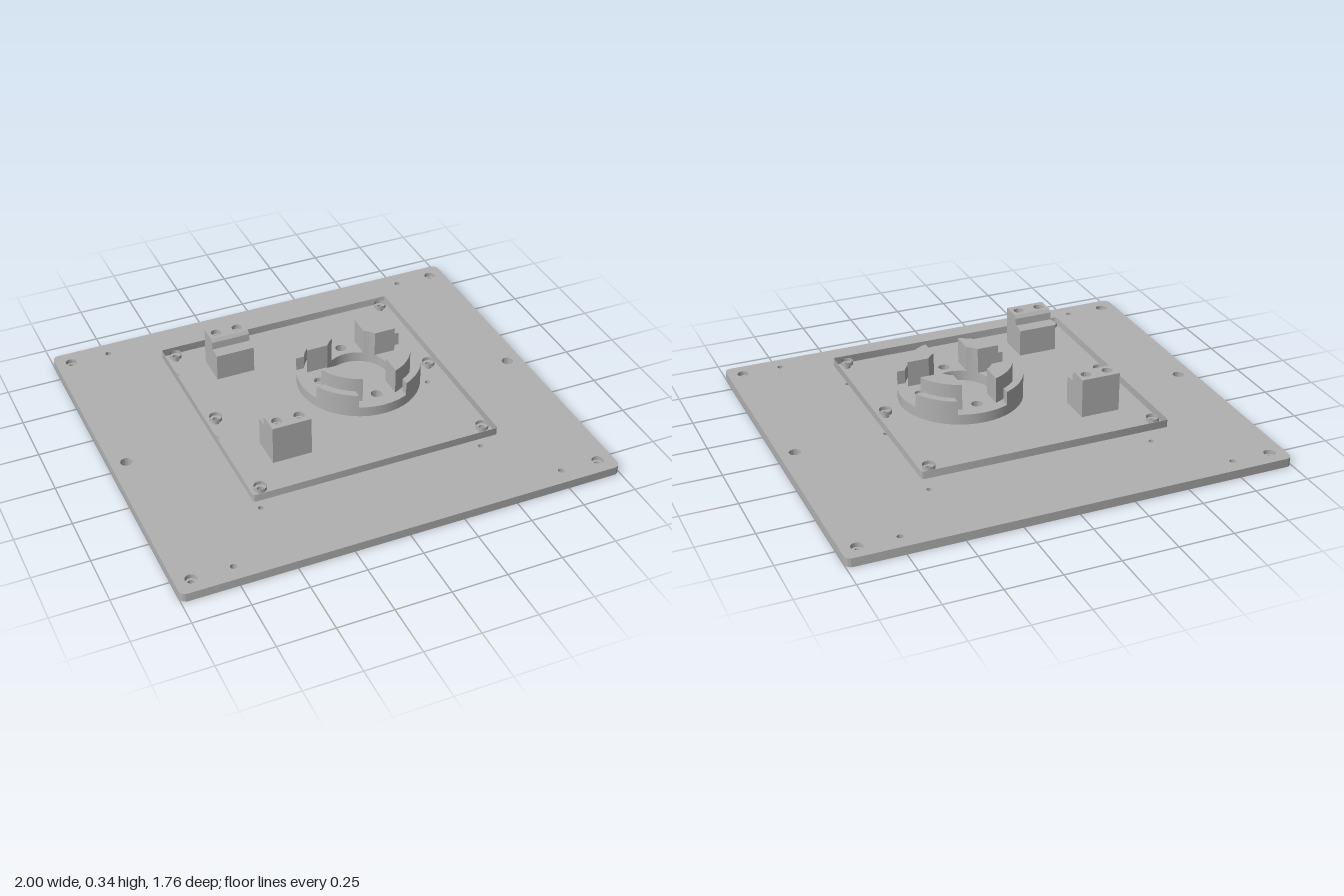
import * as THREE from 'three';
import { toCreasedNormals } from 'three/addons/utils/BufferGeometryUtils.js';

export function createModel() {
  const model = new THREE.Group();
  const grey = new THREE.MeshStandardMaterial({ color: 0xb0b0b0, side: THREE.DoubleSide });
  grey.name = 'machined grey';

  const add = (name, geo, parent = model) => {
    const mesh = new THREE.Mesh(geo, grey);
    mesh.name = name;
    parent.add(mesh);
    return mesh;
  };
  // Extrudes a plan shape (x, -z) upwards from y0 to y1
  const slab = (shape, y0, y1) => {
    const geo = new THREE.ExtrudeGeometry(shape, { depth: y1 - y0, bevelEnabled: false, curveSegments: 24 });
    geo.rotateX(-Math.PI / 2).translate(0, y0, 0);
    return toCreasedNormals(geo, 0.5);
  };
  const roundedRect = (w, d, r, Type = THREE.Shape) => {
    const s = new Type();
    const x = w / 2, y = d / 2;
    s.absarc(x - r, y - r, r, 0, Math.PI / 2);
    s.absarc(-x + r, y - r, r, Math.PI / 2, Math.PI);
    s.absarc(-x + r, -y + r, r, Math.PI, Math.PI * 1.5);
    s.absarc(x - r, -y + r, r, Math.PI * 1.5, Math.PI * 2);
    s.closePath();
    return s;
  };
  const hole = (shape, x, y, r) => {
    const p = new THREE.Path();
    p.absarc(x, y, r, 0, Math.PI * 2, true);
    shape.holes.push(p);
  };

  // Base plate in two layers, so that the corner holes are counterbored
  const baseLayer = (cornerRadius) => {
    const s = roundedRect(2, 1.76, 0.03);
    for (const x of [-1, 1]) {
      for (const y of [-0.805, 0.805]) {
        hole(s, x * 0.93, y, cornerRadius);
        hole(s, x * 0.75, y, 0.014);
      }
      hole(s, x * 0.93, 0, 0.026);
      for (const y of [-0.515, 0, 0.515]) hole(s, x * 0.515, y, 0.012);
    }
    return s;
  };
  add('baseLower', slab(baseLayer(0.015), 0, 0.02));
  add('baseUpper', slab(baseLayer(0.026), 0.02, 0.04));

  // Open rim of the raised mounting frame
  const rim = roundedRect(1.13, 1.13, 0.012);
  rim.holes.push(roundedRect(1.126, 1.126, 0.01, THREE.Path));
  add('mountingRim', slab(rim, 0.125, 0.16));

  // Stepped screw sleeves along two sides of the frame
  const sleeve = [[0.028, 0.16], [0.028, 0.143], [0.015, 0.143], [0.015, 0.125]]
    .map(([r, y]) => new THREE.Vector2(r, y));
  for (const x of [-0.515, 0.515]) for (const z of [-0.515, 0, 0.515]) {
    const geo = toCreasedNormals(new THREE.LatheGeometry(sleeve, 24), 0.5);
    add('screwSleeve', geo).position.set(x, 0, z);
  }

  // Round socket: flange with holes, low outer ring and tall inner ring
  const socket = new THREE.Group();
  socket.name = 'socket';
  socket.position.x = 0.165;
  model.add(socket);
  const flange = (screwRadius) => {
    const s = new THREE.Shape();
    s.absarc(0, 0, 0.276, 0, Math.PI * 2);
    hole(s, 0, 0, 0.14);
    for (const k of [-1, 1]) {
      hole(s, 0, k * 0.19, 0.025);
      hole(s, k * 0.19, 0, screwRadius);
    }
    return s;
  };
  add('flangeLower', slab(flange(0.012), 0.16, 0.185), socket);
  add('flangeUpper', slab(flange(0.022), 0.185, 0.207), socket);

  // Quarter ring between two radii, cut back by d from both axes
  const quarter = (r0, r1, d) => {
    const s = new THREE.Shape();
    s.absarc(0, 0, r1, Math.asin(d / r1), Math.acos(d / r1));
    s.absarc(0, 0, r0, Math.acos(d / r0), Math.asin(d / r0), true);
    s.closePath();
    return s;
  };
  for (let i = 0; i < 4; i++) {
    const a = i * Math.PI / 2;
    add('outerRingSegment', slab(quarter(0.243, 0.276, 0.113), 0.207, 0.27), socket).rotation.y = a;
    add('innerTower', slab(quarter(0.14, 0.228, 0.078), 0.207, 0.325), socket).rotation.y = a;
  }

  // Stepped clamp blocks, facing each other
  const profile = [[0.25, 0.16], [0.4, 0.16], [0.4, 0.29], [0.315, 0.29], [0.315, 0.337],
    [0.303, 0.323], [0.3, 0.29], [0.262, 0.29], [0.25, 0.283]];
  for (const side of [1, -1]) {
    const block = new THREE.Group();
    block.name = side > 0 ? 'frontBlock' : 'backBlock';
    block.position.x = -0.322;
    block.rotation.y = side > 0 ? 0 : Math.PI;
    model.add(block);
    const body = new THREE.ExtrudeGeometry(
      new THREE.Shape(profile.map(([z, y]) => new THREE.Vector2(-z, y))),
      { depth: 0.176, bevelEnabled: false });
    body.rotateY(Math.PI / 2).translate(-0.088, 0, 0);
    add('blockBody', body, block);
    // Top with two counterbored screw holes
    const cap = (r) => {
      const s = new THREE.Shape([[-0.088, -0.4], [0.088, -0.4], [0.088, -0.315], [-0.088, -0.315]]
        .map(([x, y]) => new THREE.Vector2(x, y)));
      for (const x of [-0.05, 0.05]) hole(s, x, -0.354, r);
      return s;
    };
    add('blockCapLower', slab(cap(0.013), 0.29, 0.315), block);
    add('blockCapUpper', slab(cap(0.023), 0.315, 0.337), block);
  }
  return model;
}
